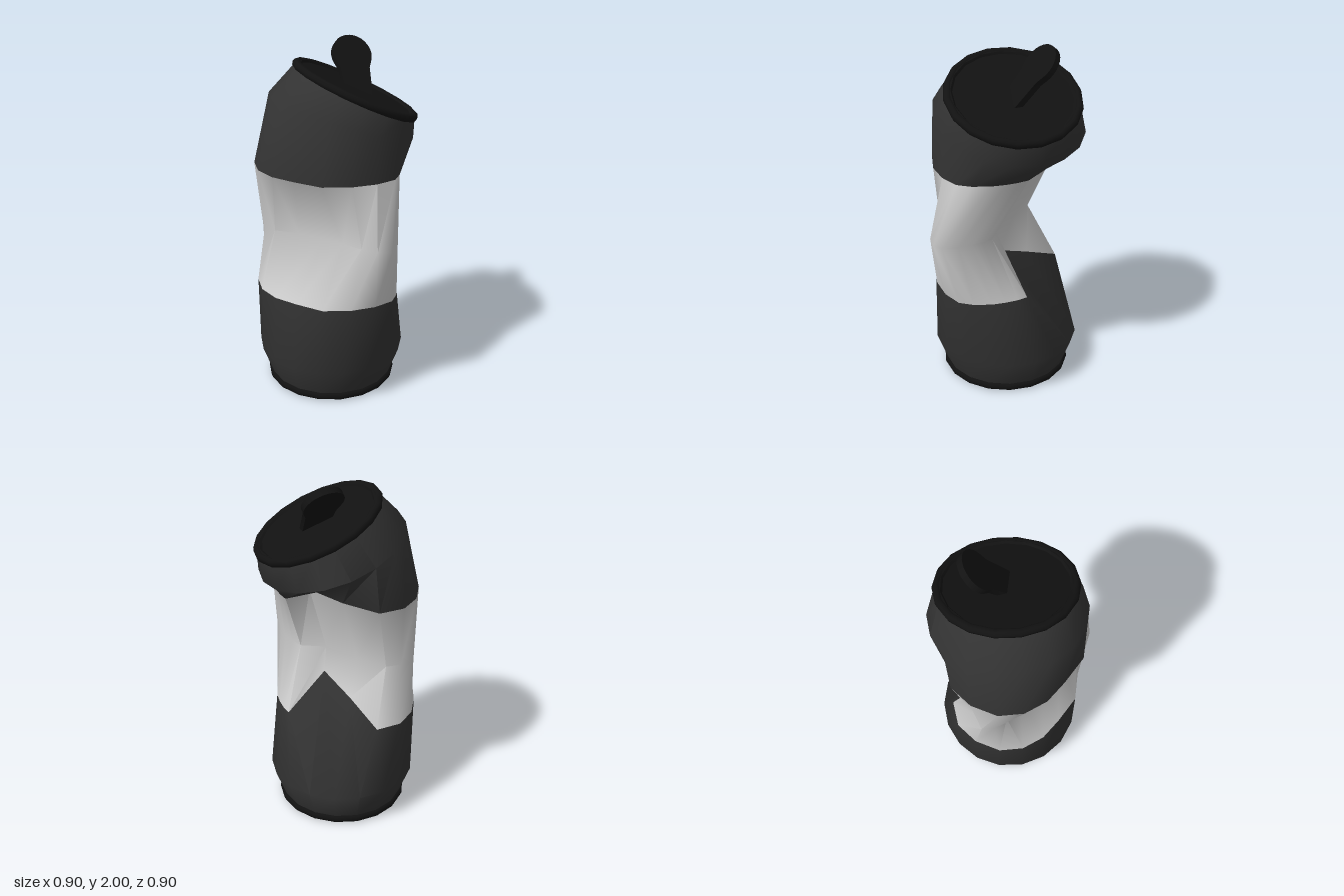
import * as THREE from 'three';
import { toCreasedNormals } from 'three/addons/utils/BufferGeometryUtils.js';

const SIDES = 18;
const CX = -0.03, CZ = -0.03; // axis of the can's foot
const SHOULDER_TILT = 0.335, LID_TILT = 0.435;
const LID_CENTRE = [0.11, 1.744, -0.03];

const paint = (color) => new THREE.MeshStandardMaterial({ color });
const dark = paint(0x333333);
const black = paint(0x121212);
const light = paint(0xcccccc);

function add(parent, name, geometry, material) {
  const mesh = new THREE.Mesh(geometry, material);
  mesh.name = name;
  parent.add(mesh);
}

// Round cross-section, tipped towards +x; starts at the front corner of the dent
function circleRing([cx, cy, cz], radius, tilt = 0, backDrop = 0) {
  return Array.from({ length: SIDES }, (_, k) => {
    const a = THREE.MathUtils.degToRad(-48 + 20 * k);
    const u = Math.cos(a) * radius, v = Math.sin(a) * radius;
    return [cx + u * Math.cos(tilt), cy - u * Math.sin(tilt) + v * backDrop, cz + v];
  });
}

// Skin through a stack of cross-sections, bottom to top
function skin(rings) {
  const index = [];
  for (let r = 0; r < rings.length - 1; r++) {
    for (let k = 0; k < SIDES; k++) {
      const n = (k + 1) % SIDES;
      const b0 = r * SIDES + k, b1 = r * SIDES + n;
      const t0 = b0 + SIDES, t1 = b1 + SIDES;
      index.push(b1, b0, t0, b1, t0, t1);
    }
  }
  const geometry = new THREE.BufferGeometry();
  geometry.setAttribute('position', new THREE.Float32BufferAttribute(rings.flat(2), 3));
  geometry.setIndex(index);
  return toCreasedNormals(geometry, 1.15);
}

// Rolled rim around a recessed round panel; facing = 1 up, -1 down
function endCap(name, centre, tilt, facing) {
  const cap = new THREE.Group();
  cap.name = name;
  const turn = THREE.MathUtils.degToRad(8);
  const rim = new THREE.TorusGeometry(0.353, 0.024, 8, SIDES);
  rim.rotateX(Math.PI / 2).rotateY(turn);
  add(cap, name + 'Rim', rim, black);
  const profile = [[0.355, 0.019], [0.335, 0.019], [0.325, 0.008], [0, 0.008]];
  const points = profile.map(([r, y]) => new THREE.Vector2(r, y));
  const panel = toCreasedNormals(new THREE.LatheGeometry(points, SIDES), 0.5);
  panel.rotateY(turn);
  if (facing < 0) panel.rotateX(Math.PI);
  add(cap, name + 'Panel', panel, black);
  cap.position.set(...centre);
  cap.rotation.z = -tilt;
  return cap;
}

// Pull tab: narrow foot and round head, standing up from the lid
function pullTab() {
  const shape = new THREE.Shape();
  shape.moveTo(-0.04, -0.05);
  shape.lineTo(0.04, -0.05);
  shape.lineTo(0.075, -0.02);
  shape.lineTo(0.088, 0.15);
  shape.absarc(0, 0.235, 0.114, -0.4, Math.PI + 0.4, false);
  shape.lineTo(-0.088, 0.15);
  shape.lineTo(-0.075, -0.02);
  shape.closePath();
  const geometry = new THREE.ExtrudeGeometry(shape, {
    depth: 0.036, bevelEnabled: false, curveSegments: 9,
  }).translate(0, 0, -0.018);
  const along = new THREE.Vector3(-0.01, 0.27, -0.23).normalize();
  const normal = new THREE.Vector3(0.95, -0.16, -0.1).cross(along).normalize();
  const across = new THREE.Vector3().crossVectors(along, normal);
  geometry.applyMatrix4(new THREE.Matrix4().makeBasis(across, along, normal).setPosition(0.125, 1.725, -0.025));
  return toCreasedNormals(geometry, 0.6);
}

export function createModel() {
  const can = new THREE.Group();
  can.name = 'crushedCan';

  // Outer arc shared by both label borders, front corner to back corner: [x, z]
  const arc = [
    [0.3, -0.06], [0.315, 0], [0.322, 0.07], [0.32, 0.15], [0.295, 0.25], [0.25, 0.325], [0.14, 0.375], [0, 0.392],
    [-0.155, 0.365], [-0.285, 0.255], [-0.385, 0.155], [-0.445, 0.03], [-0.45, -0.11], [-0.385, -0.25],
    [-0.28, -0.35], [-0.135, -0.375],
  ];
  // Dented stretch of each border: [x, y, z]
  const lowDent = [[-0.04, 0.71, -0.16], [0.06, 0.8, 0.03]];
  const highDent = [[0.02, 1.34, -0.21], [0.15, 1.345, 0]];
  const border = (y, dent) => [...arc.map(([x, z]) => [x, y, z]), ...dent];

  // Flattened waist, a little lower at the back: [x, z]
  const waist = [
    [0.18, 0.11], [0.215, 0.17], [0.24, 0.24], [0.25, 0.32], [0.25, 0.41], [0.21, 0.45], [0.13, 0.45], [0.06, 0.37],
    [-0.02, 0.26], [-0.105, 0.15], [-0.225, 0.025], [-0.35, -0.06], [-0.4, -0.13], [-0.4, -0.205],
    [-0.32, -0.225], [-0.23, -0.225], [-0.1, -0.1], [0.04, 0.06],
  ].map(([x, z]) => [x, 0.937 + 0.075 * z, z]);

  const foot = circleRing([CX, 0.045, CZ], 0.36);
  const belly = circleRing([CX, 0.215, CZ], 0.423);
  const low = border(0.61, lowDent);
  const high = border(1.335, highDent);
  const shoulder = circleRing([0.032, 1.605, CZ], 0.42, SHOULDER_TILT, 0.07);
  const neck = circleRing(LID_CENTRE, 0.36, LID_TILT);

  add(can, 'lowerBody', skin([foot, belly, low]), dark);
  add(can, 'labelBand', skin([low, waist, high]), light);
  add(can, 'upperBody', skin([high, shoulder, neck]), dark);

  can.add(endCap('base', [CX, 0.027, CZ], 0, -1));
  can.add(endCap('lid', LID_CENTRE, LID_TILT, 1));
  add(can, 'pullTab', pullTab(), black);
  return can;
}
